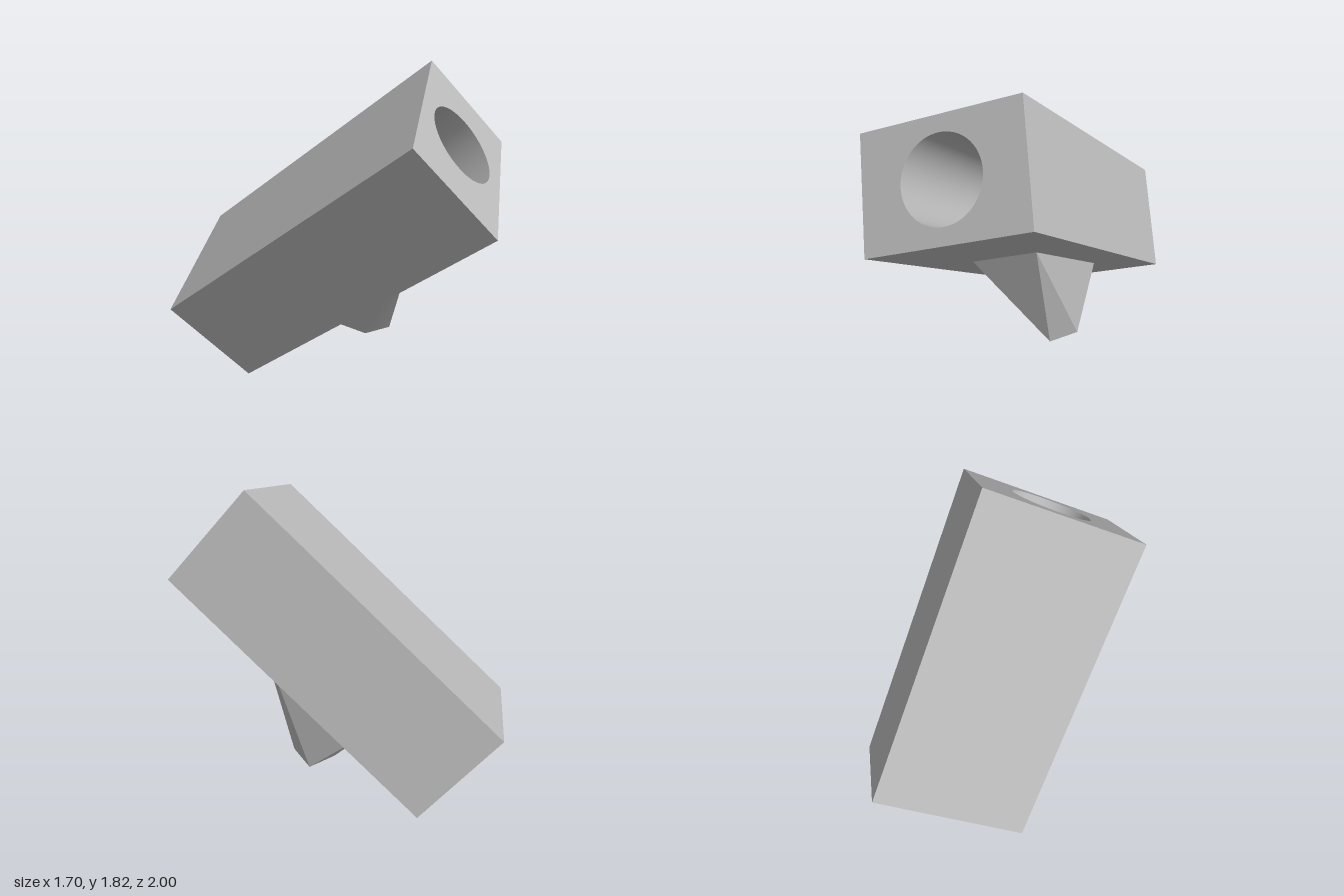
import * as THREE from 'three';
import { toCreasedNormals } from 'three/addons/utils/BufferGeometryUtils.js';
import { ConvexGeometry } from 'three/addons/geometries/ConvexGeometry.js';

const WIDTH = 0.894, HEIGHT = 0.62, LENGTH = 1.784, BORE = 0.222;

export function createModel() {
  const model = new THREE.Group();
  model.name = 'tiltedBlock';
  const grey = new THREE.MeshStandardMaterial({ color: 0xb8b8b8 });
  grey.name = 'grey';

  // Tilted frame: z runs along the block, y points out of its underside
  const zAxis = new THREE.Vector3(0.72, 1.05, 1.25).normalize();
  const xAxis = new THREE.Vector3(-0.58, -0.32, 0.6);
  xAxis.addScaledVector(zAxis, -xAxis.dot(zAxis)).normalize();
  const yAxis = new THREE.Vector3().crossVectors(zAxis, xAxis);
  const body = new THREE.Group();
  body.name = 'body';
  body.quaternion.setFromRotationMatrix(new THREE.Matrix4().makeBasis(xAxis, yAxis, zAxis));
  body.position.y = 0.91;
  model.add(body);

  const add = (name, geometry) => {
    const mesh = new THREE.Mesh(geometry, grey);
    mesh.name = name;
    body.add(mesh);
    return mesh;
  };

  // Front half with a round bore; the solid rear half closes the bore
  const w = WIDTH / 2, h = HEIGHT / 2;
  const section = new THREE.Shape([[-w, -h], [w, -h], [w, h], [-w, h]].map(p => new THREE.Vector2(...p)));
  section.holes.push(new THREE.Path().absarc(0, 0, BORE, 0, Math.PI * 2, true));
  const front = new THREE.ExtrudeGeometry(section, { depth: LENGTH / 2, bevelEnabled: false, curveSegments: 32 });
  add('boredFront', toCreasedNormals(front, 0.5));
  add('solidRear', new THREE.BoxGeometry(WIDTH, HEIGHT, LENGTH / 2)).position.z = -LENGTH / 4;

  // Tapered foot: a rectangle on the underside joined to a level square tip
  const base = [[-0.185, 0.327], [0.188, 0.327], [0.208, -0.415], [-0.208, -0.418]]
    .map(([x, z]) => new THREE.Vector3(x, h - 0.002, z));
  body.updateMatrixWorld(true);
  const tip = [[0.19, 0.04], [0.365, 0.04], [0.365, -0.14], [0.19, -0.14]]
    .map(([x, z]) => body.worldToLocal(new THREE.Vector3(x, 0.22, z)));
  add('taperedFoot', toCreasedNormals(new ConvexGeometry([...base, ...tip]), 0.6));

  return model;
}
